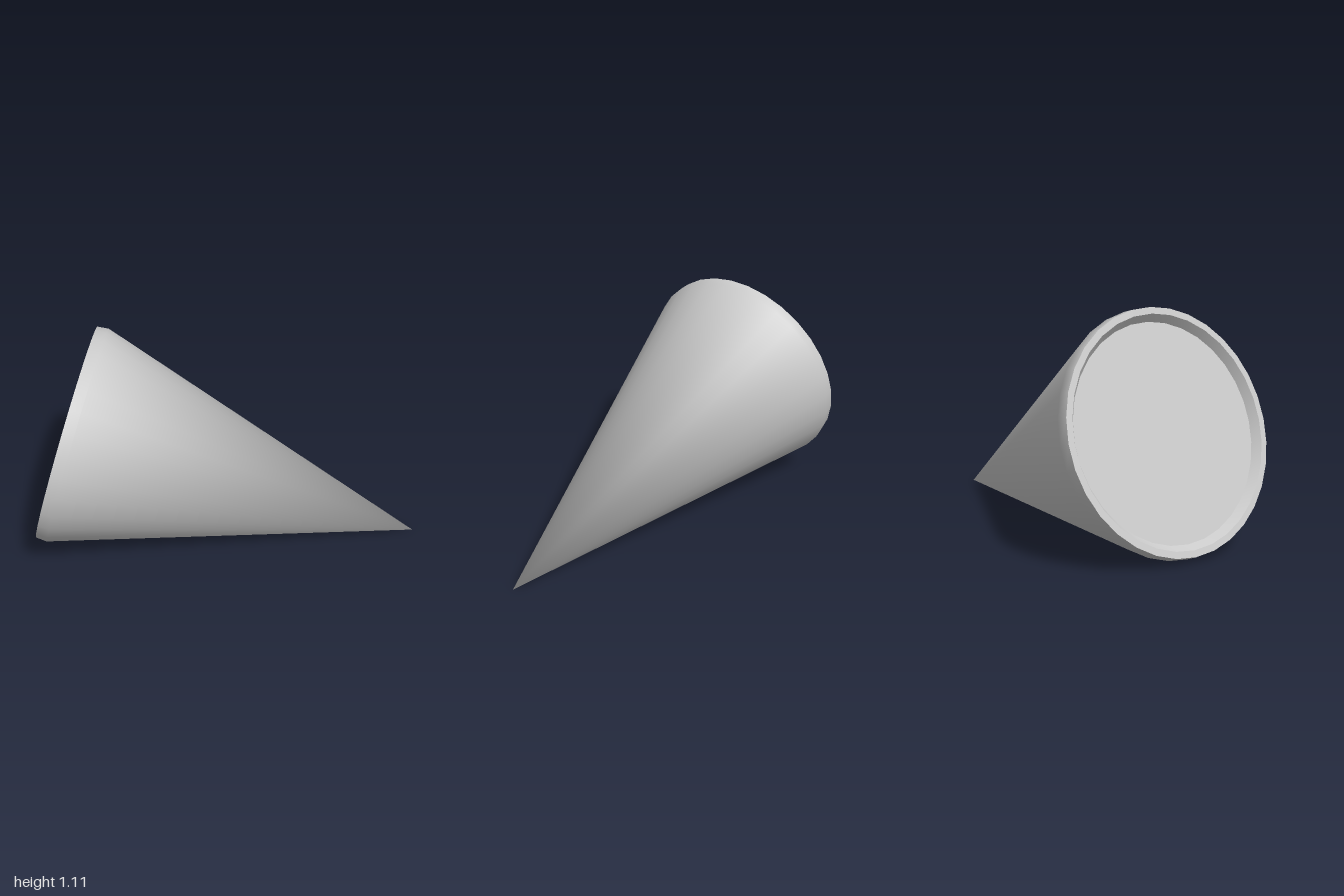
import * as THREE from 'three';
import { mergeVertices } from 'three/addons/utils/BufferGeometryUtils.js';

const SIDES = 32;
const material = new THREE.MeshStandardMaterial({ color: 0xcccccc });

// Surface of revolution from [radius, height] pairs, smooth across its own rings and seam
function turned(name, profile) {
  const lathe = new THREE.LatheGeometry(profile.map(([r, y]) => new THREE.Vector2(r, y)), SIDES);
  lathe.deleteAttribute('normal');
  lathe.deleteAttribute('uv');
  const geometry = mergeVertices(lathe, 1e-5);
  geometry.computeVertexNormals();
  const mesh = new THREE.Mesh(geometry, material);
  mesh.name = name;
  return mesh;
}

export function createModel() {
  const model = new THREE.Group();
  model.name = 'cone';

  // Built with its tip at the origin and its base facing up
  model.add(
    turned('coneShell', [[0, 0], [0.572, 1.86], [0.566, 1.917]]),
    turned('baseRim', [[0.566, 1.917], [0.535, 1.917]]),
    turned('recessWall', [[0.535, 1.917], [0.507, 1.877]]),
    turned('basePlate', [[0.507, 1.877], [0, 1.877]])
  );

  // Lay the cone on its side, tip towards +x
  const cone = new THREE.Group();
  cone.name = 'lyingCone';
  model.rotation.z = 1.269;
  model.position.x = 1;
  cone.add(model);
  return cone;
}
